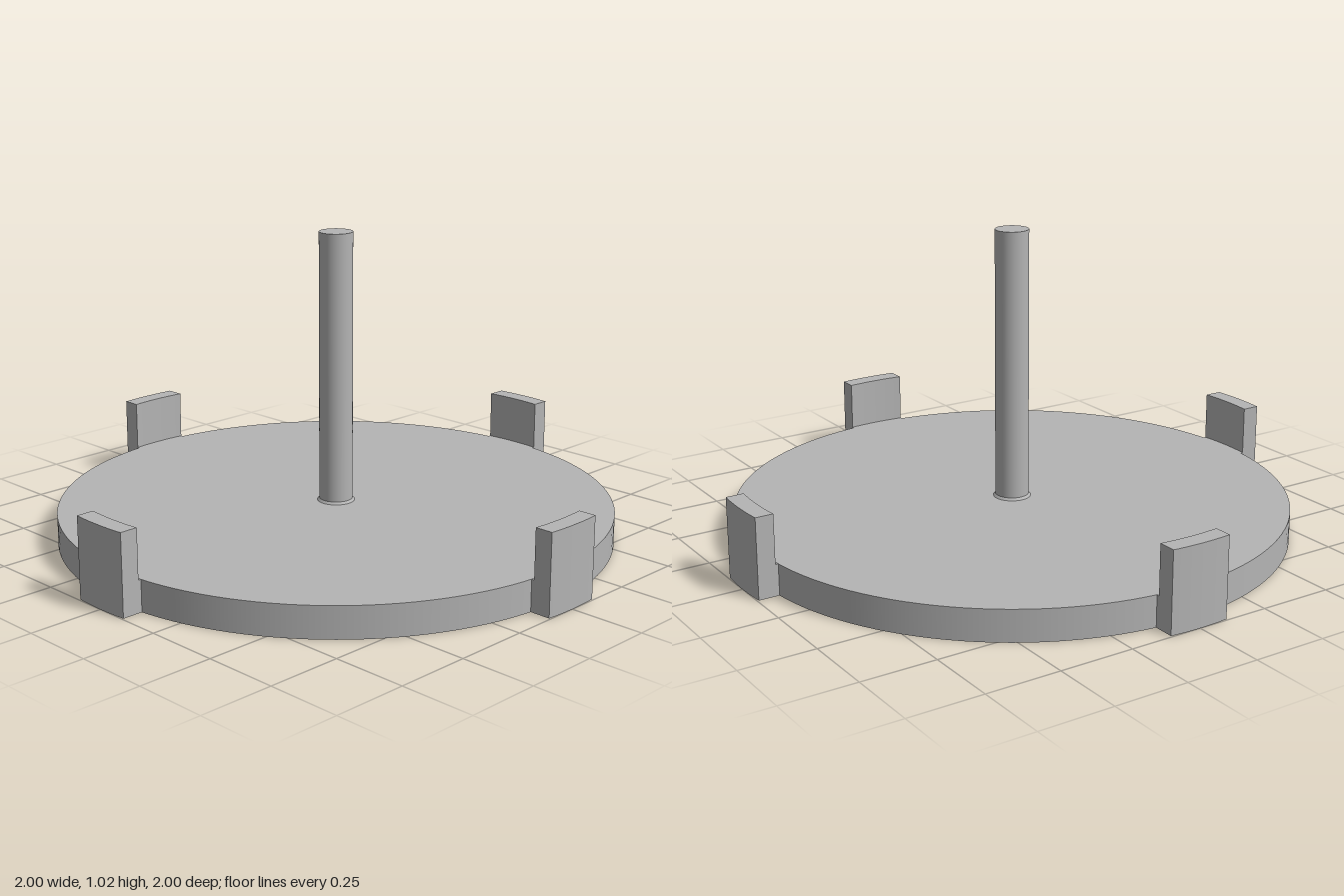
import * as THREE from 'three';

const DISC_R = 0.931, DISC_H = 0.105, TAB_H = 0.27, HALF_W = 0.105;

// Curved block between two radii, with parallel sides at x = +-HALF_W, facing +z
function arcBlock(inner, outer, y0, y1) {
  const a = Math.asin(HALF_W / outer), b = Math.asin(HALF_W / inner);
  const shape = new THREE.Shape();
  shape.absarc(0, 0, outer, -Math.PI / 2 - a, -Math.PI / 2 + a, false);
  shape.absarc(0, 0, inner, -Math.PI / 2 + b, -Math.PI / 2 - b, true);
  shape.closePath();
  const geo = new THREE.ExtrudeGeometry(shape, { depth: y1 - y0, bevelEnabled: false, curveSegments: 8 });
  geo.rotateX(-Math.PI / 2);
  geo.translate(0, y0, 0);
  return geo;
}

export function createModel() {
  const grey = new THREE.MeshStandardMaterial({ color: 0xb4b4b4 });
  grey.name = 'plain grey';
  const model = new THREE.Group();
  model.name = 'spindleBase';

  const add = (name, geo, parent = model) => {
    const mesh = new THREE.Mesh(geo, grey);
    mesh.name = name;
    parent.add(mesh);
    return mesh;
  };

  // Round base plate
  const disc = new THREE.CylinderGeometry(DISC_R, DISC_R, DISC_H, 128);
  add('basePlate', disc).position.y = DISC_H / 2;

  // Central post with a slight flare where it meets the plate
  const post = new THREE.CylinderGeometry(0.056, 0.056, 1.02 - DISC_H, 48);
  add('post', post).position.y = (1.02 + DISC_H) / 2;
  const flare = new THREE.CylinderGeometry(0.056, 0.063, 0.008, 48, 1, true);
  add('postFlare', flare).position.y = DISC_H + 0.004;

  // Four upright tabs around the rim, each with a foot joining the plate
  ['front', 'left', 'back', 'right'].forEach((side, i) => {
    const tab = new THREE.Group();
    tab.name = side + 'Tab';
    tab.rotation.y = i * Math.PI / 2;
    add('tabFoot', arcBlock(DISC_R - 0.002, 0.941, 0, DISC_H - 0.0005), tab);
    add('tabUpright', arcBlock(0.94, 1, 0, TAB_H), tab);
    model.add(tab);
  });

  return model;
}
